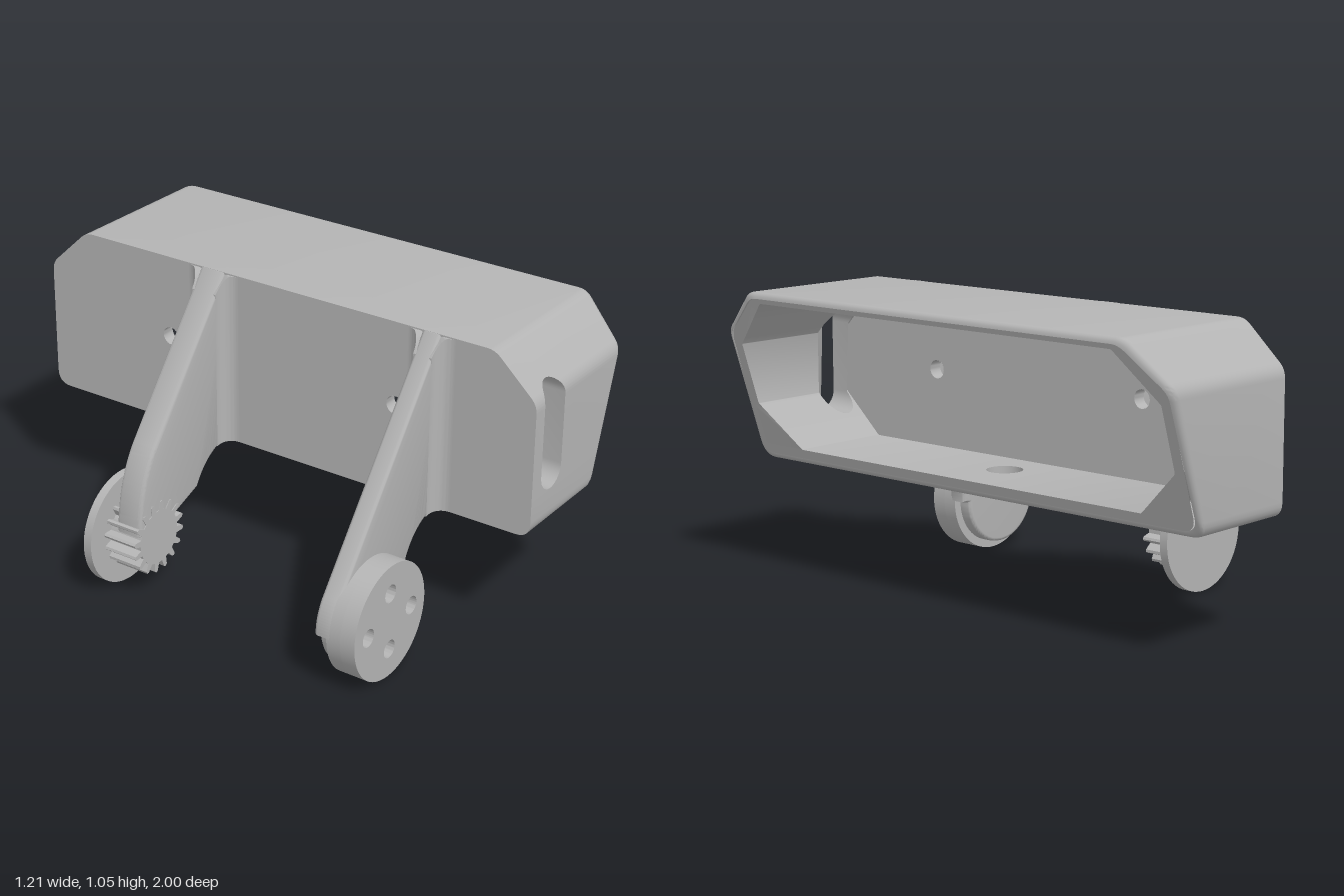
import * as THREE from 'three';
import { toCreasedNormals } from 'three/addons/utils/BufferGeometryUtils.js';

const BACK = -0.01, FLOOR = 0.04;            // back wall, outer and inner x
const SLOT = { x: 0.11, r: 0.065, y0: 0.62, y1: 0.875 };
const DRAIN = { x: 0.2, r: 0.063 };
const HUB = { x: -0.405, y: 0.205, r: 0.205 };
const frontX = (y) => 0.4 + (y - 0.42) * 0.3175;   // slanted front plane

export function createModel() {
  const model = new THREE.Group();
  const grey = new THREE.MeshStandardMaterial({ color: 0xb4b4b4, side: THREE.DoubleSide });
  grey.name = 'plain grey';

  const add = (name, geometry, crease = 0.6) => {
    const flat = geometry.index ? geometry.toNonIndexed() : geometry;
    const mesh = new THREE.Mesh(toCreasedNormals(flat, crease), grey);
    mesh.name = name;
    model.add(mesh);
    return mesh;
  };
  const fromTriangles = (pos) => {
    const g = new THREE.BufferGeometry();
    g.setAttribute('position', new THREE.Float32BufferAttribute(pos, 3));
    return g;
  };
  const quad = (out, a, b, c, d) => out.push(...a, ...b, ...c, ...a, ...c, ...d);

  // Sample rows that follow the end slot and the drain hole
  const slotY = [], drainZ = [];
  for (let i = 0; i <= 10; i++) {
    const s = Math.cos((i / 10) * Math.PI / 2) * SLOT.r;
    slotY.push(SLOT.y0 - s, SLOT.y1 + s);
  }
  slotY.sort((a, b) => a - b);
  for (let i = 0; i <= 20; i++) drainZ.push(Math.cos((i / 20) * Math.PI) * DRAIN.r);
  const halfChord = (r, d) => Math.sqrt(Math.max(0, r * r - d * d));
  const slotHalf = (y) => halfChord(SLOT.r, Math.max(SLOT.y0 - y, y - SLOT.y1, 0));
  const gap = (z, y) => {
    if (z > 0.5) return [SLOT.x, slotHalf(y)];
    if (y < 0.5) return [DRAIN.x, halfChord(DRAIN.r, z)];
    return [SLOT.x, 0];
  };

  // Closed (z, y) section from half-corners [z, y, radius], mirrored, rounded, refined
  const section = (half) => {
    const pts = [...half, ...half.map(([z, y, r]) => [-z, y, r]).reverse()];
    const n = pts.length, round = [];
    pts.forEach(([z, y, r], i) => {
      const p = new THREE.Vector2(z, y);
      const toward = (q) => new THREE.Vector2(q[0], q[1]).sub(p).setLength(r).add(p);
      const a = toward(pts[(i + n - 1) % n]), b = toward(pts[(i + 1) % n]);
      round.push(...new THREE.QuadraticBezierCurve(a, p, b).getPoints(6).map((v) => [v.x, v.y]));
    });
    const out = [];
    round.forEach((a, i) => {
      const b = round[(i + 1) % round.length];
      let cuts = [];
      if (a[0] > 0.5 && b[0] > 0.5) cuts = slotY.map((y) => (y - a[1]) / (b[1] - a[1]));
      else if (a[1] < 0.6 && b[1] < 0.6) cuts = drainZ.map((z) => (z - a[0]) / (b[0] - a[0]));
      cuts = cuts.filter((t) => t > 1e-5 && t < 1 - 1e-5).sort((s, t) => s - t);
      out.push(a, ...cuts.map((t) => [a[0] + (b[0] - a[0]) * t, a[1] + (b[1] - a[1]) * t]));
    });
    return out;
  };
  const outer = section([[0.84, 1.05, 0.03], [1, 0.9, 0.03], [1, 0.42, 0.055]]);
  const inner = section([[0.785, 1.01, 0.006], [0.94, 0.85, 0.006], [0.94, 0.63, 0.006], [0.77, 0.475, 0.006]]);

  // Walls run from the back to the front, leaving gaps for slot and drain
  const wall = (contour, x0, x1) => {
    const out = [];
    contour.forEach((a, i) => {
      const b = contour[(i + 1) % contour.length];
      const row = ([z, y]) => {
        const [c, w] = gap(z, y);
        return [x0, c - w, c + w, x1(y)].map((x) => [x, y, z]);
      };
      const A = row(a), B = row(b);
      quad(out, A[0], A[1], B[1], B[0]);
      quad(out, A[2], A[3], B[3], B[2]);
    });
    return fromTriangles(out);
  };
  const R = 0.022;
  add('housingOuterWall', wall(outer, BACK, (y) => frontX(y) - R));
  // the inner wall is wound the other way round
  add('housingInnerWall', wall([...inner].reverse(), FLOOR, frontX));

  // Rounded front edge
  const ring = (angle) => outer.map(([z, y]) => {
    const s = R * (1 - Math.cos(angle));
    const yi = 0.735 + (y - 0.735) * (1 - s / 0.315);
    return [frontX(y) - R * (1 - Math.sin(angle)), yi, z * (1 - s)];
  });
  const lip = [];
  for (let k = 0; k < 4; k++) {
    const A = ring((k / 4) * Math.PI / 2), B = ring(((k + 1) / 4) * Math.PI / 2);
    A.forEach((a, i) => {
      const j = (i + 1) % A.length;
      quad(lip, a, B[i], B[j], A[j]);
    });
  }
  add('housingFrontEdge', fromTriangles(lip));

  // Flat faces across x: front rim, outer back and cavity floor
  const v2 = (list) => list.map(([z, y]) => new THREE.Vector2(-z, y));
  const screwZ = [0.47, -0.465], screwR = 0.033;
  const across = (contour, holes, xOf, flip) => {
    const shape = new THREE.Shape(v2(contour));
    shape.holes = holes;
    const g = new THREE.ShapeGeometry(shape, 24).toNonIndexed();
    const p = g.attributes.position, out = [];
    for (let i = 0; i < p.count; i++) {
      const k = flip ? i - (i % 3) + 2 - (i % 3) : i;
      out.push(xOf(p.getY(k)), p.getY(k), -p.getX(k));
    }
    return fromTriangles(out);
  };
  const screwHoles = () => screwZ.map((z) => new THREE.Path().absarc(-z, 0.75, screwR, 0, Math.PI * 2, true));
  const rimOuter = ring(Math.PI / 2).map(([, y, z]) => [z, y]);
  add('frontRim', across(rimOuter, [new THREE.Path(v2(inner))], (y) => frontX(y)));
  add('backFace', across(outer, screwHoles(), () => BACK, true));
  add('cavityFloor', across(inner, screwHoles(), () => FLOOR));
  for (const z of screwZ) {
    const g = new THREE.CylinderGeometry(screwR, screwR, FLOOR - BACK, 24, 1, true).rotateZ(Math.PI / 2);
    add('screwHole', g.translate((FLOOR + BACK) / 2, 0.75, z));
  }
  add('drainHole', new THREE.CylinderGeometry(DRAIN.r, DRAIN.r, 0.055, 32, 1, true).translate(DRAIN.x, 0.4475, 0));

  // Sides of the end slot
  const zAt = (contour, y) => {
    let best = 0;
    contour.forEach((a, i) => {
      const b = contour[(i + 1) % contour.length];
      if (a[0] < 0.5 || b[0] < 0.5 || Math.abs(a[1] - b[1]) < 1e-7) return;
      const t = (y - a[1]) / (b[1] - a[1]);
      if (t >= -1e-4 && t <= 1.0001) best = Math.max(best, a[0] + (b[0] - a[0]) * t);
    });
    return best;
  };
  const slotSides = [];
  for (let i = 0; i < slotY.length - 1; i++) {
    for (const s of [-1, 1]) {
      const at = (y, c) => [SLOT.x + s * slotHalf(y), y, zAt(c, y)];
      const [y, yn] = s > 0 ? [slotY[i], slotY[i + 1]] : [slotY[i + 1], slotY[i]];
      quad(slotSides, at(y, outer), at(y, inner), at(yn, inner), at(yn, outer));
    }
  }
  add('slotSides', fromTriangles(slotSides));

  // Extruded plate between two z values, optionally with softened edges
  const plate = (name, shape, z0, z1, bevel = 0) => add(name, new THREE.ExtrudeGeometry(shape, {
    depth: z1 - z0 - 2 * bevel, curveSegments: 40, bevelEnabled: bevel > 0,
    bevelSize: bevel, bevelThickness: bevel, bevelOffset: -bevel, bevelSegments: 3,
  }).translate(0, 0, z0 + bevel));
  const disc = (r) => new THREE.Shape().absarc(HUB.x, HUB.y, r, 0, Math.PI * 2);

  // Arm with the drilled disc
  const arm = new THREE.Shape();
  arm.moveTo(0.02, 1.045).lineTo(-0.015, 1.05);
  arm.absarc(HUB.x, HUB.y, HUB.r, 2.49, Math.PI, false);
  arm.absarc(HUB.x, HUB.y, 0.175, Math.PI, Math.PI * 2, false);
  arm.lineTo(-0.2, 0.21);
  arm.absellipse(-0.005, 0.21, 0.195, 0.21, Math.PI, Math.PI / 2, true);
  arm.lineTo(0.02, 0.42);
  plate('frontArm', arm, 0.57, 0.64, 0.012);
  plate('frontDiscBase', disc(HUB.r), 0.617, 0.67);
  const drilled = disc(HUB.r);
  for (const [dx, dy] of [[0.125, 0], [-0.125, 0], [0, 0.104], [0, -0.104]])
    drilled.holes.push(new THREE.Path().absarc(HUB.x + dx, HUB.y + dy, 0.032, 0, Math.PI * 2, true));
  plate('frontDisc', drilled, 0.67, 0.725);

  // Arm with the toothed hub and thin cap
  const rear = new THREE.Shape();
  rear.moveTo(0.02, 1.045).lineTo(-0.015, 1.05).lineTo(-0.41, 0.545);
  rear.quadraticCurveTo(-0.5, 0.42, -0.505, 0.24);
  rear.lineTo(-0.405, 0.205).lineTo(-0.31, 0.25).lineTo(-0.18, 0.3);
  rear.quadraticCurveTo(-0.12, 0.41, -0.005, 0.42);
  rear.lineTo(0.02, 0.42);
  plate('rearArm', rear, -0.325, -0.225, 0.012);
  const teeth = 16, gear = [];
  for (let i = 0; i < teeth; i++)
    for (const [t, r] of [[0, 0.1], [0.3, 0.1], [0.45, 0.13], [0.6, 0.135], [0.75, 0.13], [0.9, 0.1]]) {
      const a = ((i + t) / teeth) * Math.PI * 2;
      gear.push(new THREE.Vector2(HUB.x + r * Math.cos(a), HUB.y + r * Math.sin(a)));
    }
  plate('toothedHub', new THREE.Shape(gear), -0.357, -0.222);
  plate('rearCap', disc(HUB.r), -0.387, -0.355);

  // Concave fillets where the arms meet the back wall
  const flare = new THREE.Shape();
  flare.moveTo(0, -0.01).lineTo(-0.065, -0.01).lineTo(-0.065, 0);
  flare.absarc(-0.065, 0.055, 0.055, -Math.PI / 2, 0, false);
  flare.lineTo(0, 0.055);
  for (const [z, side] of [[0.64, 1], [0.57, -1], [-0.225, 1], [-0.325, -1]]) {
    const g = new THREE.ExtrudeGeometry(flare, { depth: 1, steps: 1, curveSegments: 10, bevelEnabled: false });
    const p = g.attributes.position;
    for (let i = 0; i < p.count; i++) {
      const x = p.getX(i), u = p.getY(i);
      const top = Math.min(1.045, 1.05 + (x + 0.015) * 1.28);
      const low = 0.21 + 0.21 * Math.sqrt(1 - ((x + 0.005) / 0.195) ** 2);
      p.setXYZ(i, x, low + (top - low) * p.getZ(i), z + side * u);
    }
    add('armFillet', g);
  }
  return model;
}
